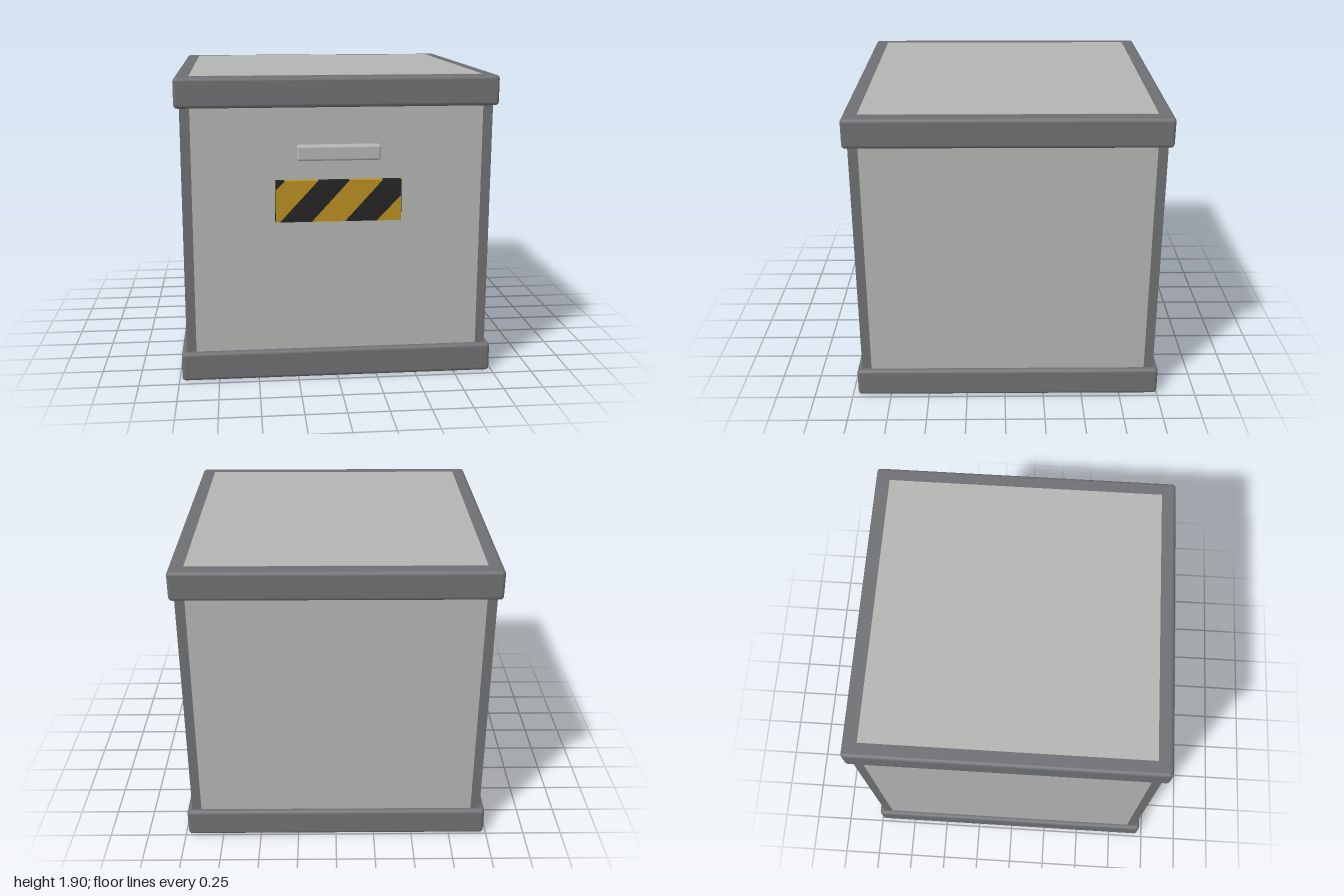
import * as THREE from 'three';
import { RoundedBoxGeometry } from 'three/addons/geometries/RoundedBoxGeometry.js';

const material = (name, color) => {
  const m = new THREE.MeshStandardMaterial({ color });
  m.name = name;
  return m;
};

export function createModel() {
  const light = material('light grey metal', 0xb2b4b2);
  const dark = material('dark grey metal', 0x6e6f72);
  const yellow = material('warning yellow', 0xb88e20);
  const black = material('warning black', 0x242424);

  const model = new THREE.Group();
  model.name = 'storageCrate';
  const add = (name, geometry, mat, x, y, z) => {
    const mesh = new THREE.Mesh(geometry, mat);
    mesh.name = name;
    mesh.position.set(x, y, z);
    model.add(mesh);
    return mesh;
  };
  const box = (w, h, d) => new THREE.BoxGeometry(w, h, d);

  // Light body panels, crossing so that the corners stay free for the posts
  const zc = -0.0175, inner = 1.78, outer = 1.9, wallH = 1.7, midY = 0.9525;
  add('frontBackPanels', box(inner, wallH, outer), light, 0, midY, zc);
  add('sidePanels', box(outer, wallH, inner), light, 0, midY, zc);

  // Corner posts, flush with the panels
  for (const sx of [-1, 1]) for (const sz of [-1, 1]) {
    add('cornerPost', box(0.06, wallH, 0.06), dark, sx * 0.92, midY, zc + sz * 0.92);
  }

  // Rounded base and lid rims with inset light plates
  const rim = new RoundedBoxGeometry(1.965, 0.185, 1.965, 2, 0.024);
  add('baseRim', rim, dark, 0, 0.0945, zc);
  add('lidRim', rim, dark, 0, 1.8105, zc);
  add('basePlate', box(inner, 0.004, inner), light, 0, 0.002, zc);
  add('lidPlate', box(inner, 0.004, inner), light, 0, 1.903, zc);

  // Handle on the front
  add('handle', new RoundedBoxGeometry(0.51, 0.094, 0.07, 2, 0.015), light, 0, 1.447, 0.965);

  // Hazard sign: slanted stripes cut to the rectangle
  const L = -0.385, R = 0.385, B = 1.02, T = 1.275;
  const stripes = [
    [black, [[L, 1.218], [-0.33, T], [L, T]]],
    [yellow, [[L, B], [-0.36, B], [-0.125, T], [-0.33, T], [L, 1.218]]],
    [black, [[-0.36, B], [-0.165, B], [0.067, T], [-0.125, T]]],
    [yellow, [[-0.165, B], [0.04, B], [0.27, T], [0.067, T]]],
    [black, [[0.04, B], [0.235, B], [R, 1.178], [R, T], [0.27, T]]],
    [yellow, [[0.235, B], [R, B], [R, 1.178]]],
  ];
  for (const [mat, points] of stripes) {
    const shape = new THREE.Shape(points.map(([x, y]) => new THREE.Vector2(x, y)));
    const geometry = new THREE.ExtrudeGeometry(shape, { depth: 0.045, bevelEnabled: false });
    add('signStripe', geometry, mat, 0, 0, 0.931);
  }

  // Sign ends: black with a yellow top
  for (const s of [-1, 1]) {
    add('signEndLower', box(0.002, 0.2, 0.045), black, s * 0.386, B + 0.1, 0.9535);
    add('signEndUpper', box(0.002, 0.055, 0.045), yellow, s * 0.386, T - 0.0275, 0.9535);
  }

  return model;
}
